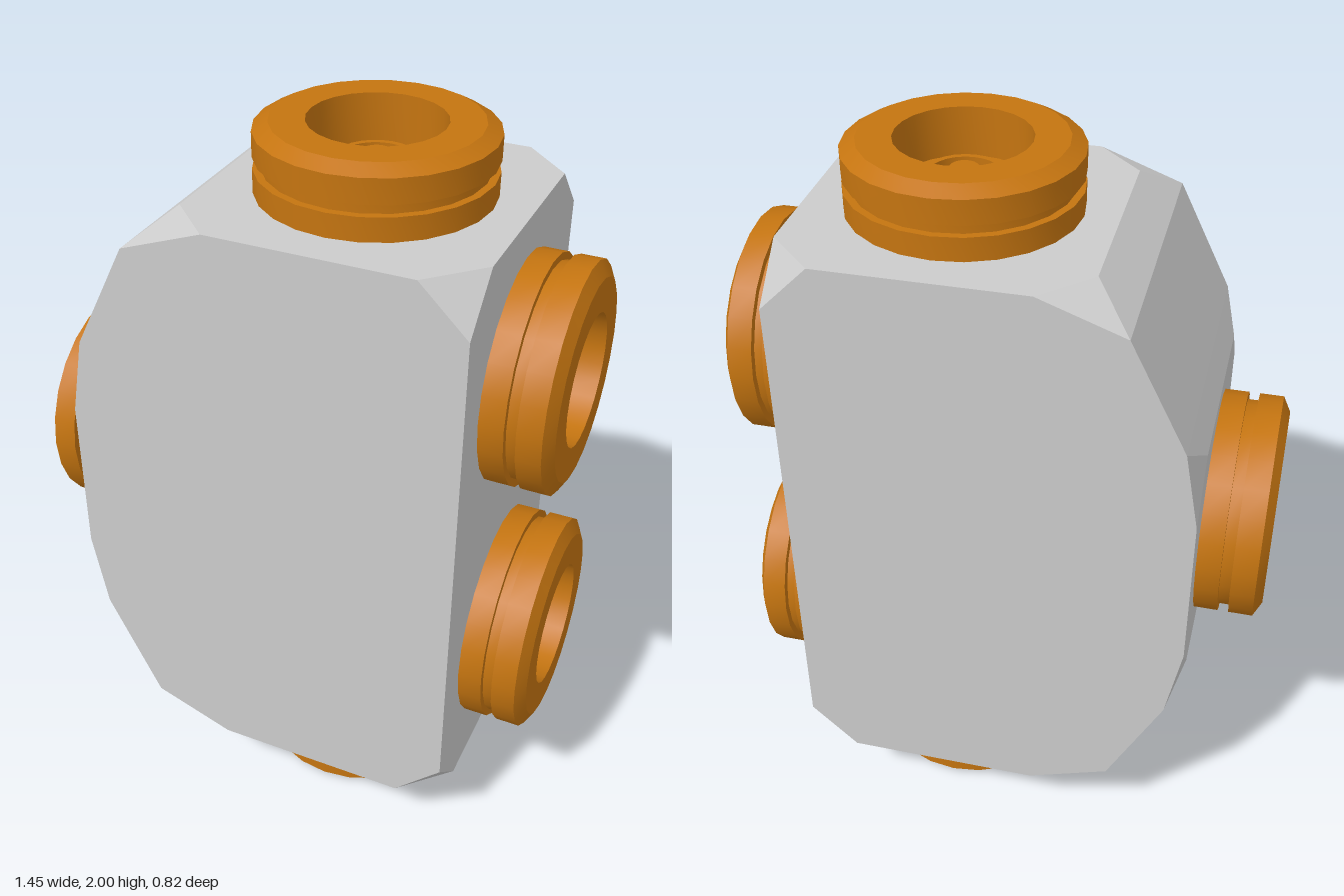
import * as THREE from 'three';
import { toCreasedNormals } from 'three/addons/utils/BufferGeometryUtils.js';
import { ConvexGeometry } from 'three/addons/geometries/ConvexGeometry.js';

const MID_Y = 1.0025;

// Corner-cut block: one quarter of the corners, mirrored up/down and front/back
function createBody() {
  const corners = [
    [0.54, 0.69, 0.41], [0.54, 0.8175, 0.28], [0.41, 0.8175, 0.41],
    [-0.13, 0.8175, 0.41], [-0.255, 0.8175, 0.285], [-0.355, 0.735, 0.41],
    [-0.505, 0.437, 0.41], [-0.545, 0.355, 0.285], [-0.545, 0.22, 0.41],
  ];
  const points = [];
  for (const sy of [1, -1]) {
    for (const sz of [1, -1]) {
      for (const [x, y, z] of corners) points.push(new THREE.Vector3(x, MID_Y + sy * y, sz * z));
    }
  }
  const material = new THREE.MeshStandardMaterial({ color: 0xcccccc, flatShading: true });
  const body = new THREE.Mesh(new ConvexGeometry(points), material);
  body.name = 'body';
  return body;
}

// Grooved collar with a bore, a raised hub ring and a centre pin
function createPortGeometry() {
  const profile = [
    [0, 0], [0.305, 0], [0.305, 0.065], [0.285, 0.065], [0.285, 0.095],
    [0.305, 0.095], [0.305, 0.16], [0.265, 0.182],
    [0.175, 0.182], [0.175, 0.05],
    [0.105, 0.05], [0.105, 0.085], [0.09, 0.085], [0.09, 0.05],
    [0.037, 0.05], [0.037, 0.1], [0, 0.1],
  ].map(([r, h]) => new THREE.Vector2(r, h));
  return toCreasedNormals(new THREE.LatheGeometry(profile, 24), 0.45);
}

export function createModel() {
  const group = new THREE.Group();
  group.name = 'connectorBlock';
  group.add(createBody());

  // Ports: name, position on the block, outward direction
  const geometry = createPortGeometry();
  const material = new THREE.MeshStandardMaterial({ color: 0xc47410 });
  const up = new THREE.Vector3(0, 1, 0);
  const ports = [
    ['topPort', [0.14, 1.818, 0], [0, 1, 0]],
    ['bottomPort', [0.14, 0.182, 0], [0, -1, 0]],
    ['upperLeftPort', [0.54, 1.41, 0], [1, 0, 0]],
    ['lowerLeftPort', [0.54, 0.597, 0], [1, 0, 0]],
    ['rightPort', [-0.545, MID_Y, 0], [-1, 0, 0]],
  ];
  for (const [name, position, direction] of ports) {
    const port = new THREE.Mesh(geometry, material);
    port.name = name;
    port.position.set(...position);
    port.quaternion.setFromUnitVectors(up, new THREE.Vector3(...direction));
    group.add(port);
  }
  return group;
}
